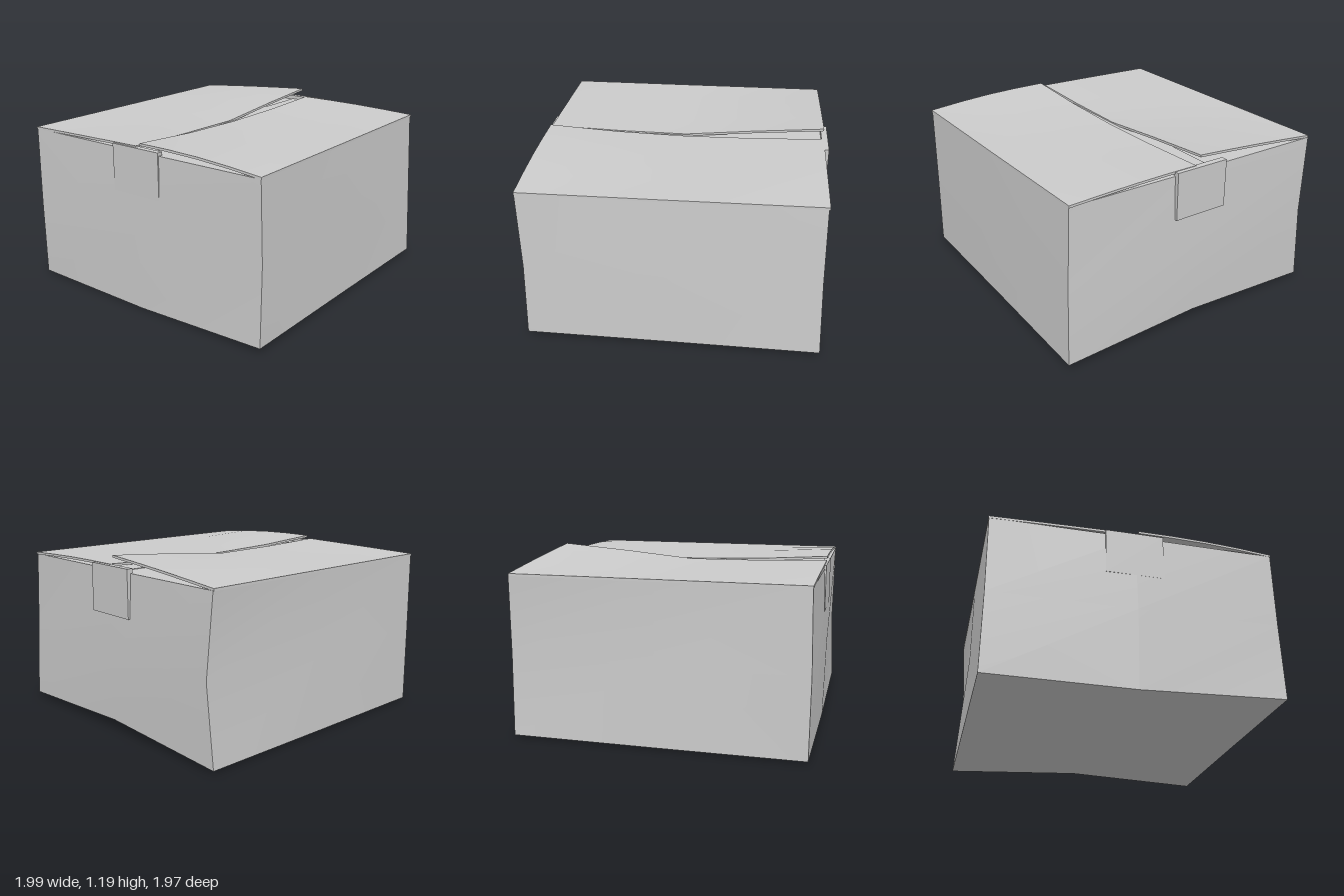
import * as THREE from 'three';

const material = new THREE.MeshStandardMaterial({ color: 0xcccccc });

// Box whose vertices are moved by a rule; each face stays smooth, edges stay sharp
function warpedBox(name, [sx, sy, sz], rule) {
  const geometry = new THREE.BoxGeometry(2, 2, 2, sx, sy, sz);
  const p = geometry.attributes.position;
  for (let i = 0; i < p.count; i++) p.setXYZ(i, ...rule(p.getX(i), p.getY(i), p.getZ(i)));
  geometry.computeVertexNormals();
  const mesh = new THREE.Mesh(geometry, material);
  mesh.name = name;
  return mesh;
}

// Linear interpolation through evenly spaced values, t from -1 to 1
function along(values, t) {
  const f = (t + 1) / 2 * (values.length - 1);
  const i = Math.min(Math.floor(f), values.length - 2);
  return THREE.MathUtils.lerp(values[i], values[i + 1], f - i);
}

// Wall positions, rows from bottom to top
const LEFT_X = [[0.975, 0.98, 0.985], [0.988, 0.99, 0.966], [0.968, 0.967, 0.957]];      // back to front
const RIGHT_X = [[-0.98, -0.985, -0.985], [-0.985, -0.998, -0.967], [-0.975, -0.98, -0.976]];
const FRONT_Z = [[0.965, 0.972, 0.985], [0.962, 0.968, 0.965], [0.952, 0.948, 0.94]];    // -x to +x
const BACK_Z = [[-0.972, -0.98, -0.988], [-0.968, -0.972, -0.942], [-0.972, -0.975, -0.98]];
// Sagging underside, rows from back to front
const BOTTOM_Y = [[0.012, 0.012, 0.015], [0, 0.012, 0.068], [0.03, 0.028, 0.028]];
const TOP_Y = 1.095;

function bodyRule(u, v, w) {
  const [i, j, k] = [u, v, w].map((t) => Math.round(t) + 1);
  const x = THREE.MathUtils.lerp(RIGHT_X[j][k], LEFT_X[j][k], (u + 1) / 2);
  const z = THREE.MathUtils.lerp(BACK_Z[j][i], FRONT_Z[j][i], (w + 1) / 2);
  const y = THREE.MathUtils.lerp(BOTTOM_Y[k][i], TOP_Y, (v + 1) / 2);
  return [x, y, z];
}

// Lid flap hinged on the front (side 1) or back (side -1) wall, with a wavy free edge
function flap(name, side, ridge, bow) {
  const hinge = side > 0 ? FRONT_Z[2] : BACK_Z[2];
  return warpedBox(name, [4, 1, 4], (u, v, w) => {
    const open = (1 - side * w) / 2; // 0 at the hinge, 1 at the free edge
    const rise = along(ridge, u) - 1.108;
    const y = 1.108 + rise * (open + bow * Math.sin(Math.PI * open)) - (v < 0 ? 0.016 : 0);
    const z = THREE.MathUtils.lerp(along(hinge, u) + side * 0.003, side * 0.017, open);
    return [along([-0.977, 0.965], u), y, z];
  });
}

// Plain box given by its minimum and maximum corners
function block(name, min, max) {
  const mid = min.map((a, i) => (a + max[i]) / 2);
  const half = min.map((a, i) => (max[i] - a) / 2);
  return warpedBox(name, [1, 1, 1], (...p) => p.map((t, i) => mid[i] + half[i] * t));
}

export function createModel() {
  const group = new THREE.Group();
  group.name = 'cardboardBox';
  group.add(warpedBox('boxBody', [2, 2, 2], bodyRule));
  group.add(flap('frontFlap', 1, [1.15, 1.12, 1.107, 1.112, 1.128], 0.35));
  group.add(flap('backFlap', -1, [1.128, 1.112, 1.107, 1.152, 1.19], 0.05));

  // Tape along the seam, folded down over both ends
  group.add(block('seamTape', [-0.97, 1.08, -0.1], [0.96, 1.099, 0.1]));
  group.add(block('leftTapeEnd', [0.95, 0.8, -0.21], [0.994, 1.125, 0.18]));
  group.add(block('rightTapeEnd', [-0.99, 0.8, -0.21], [-0.95, 1.118, 0.18]));
  return group;
}
